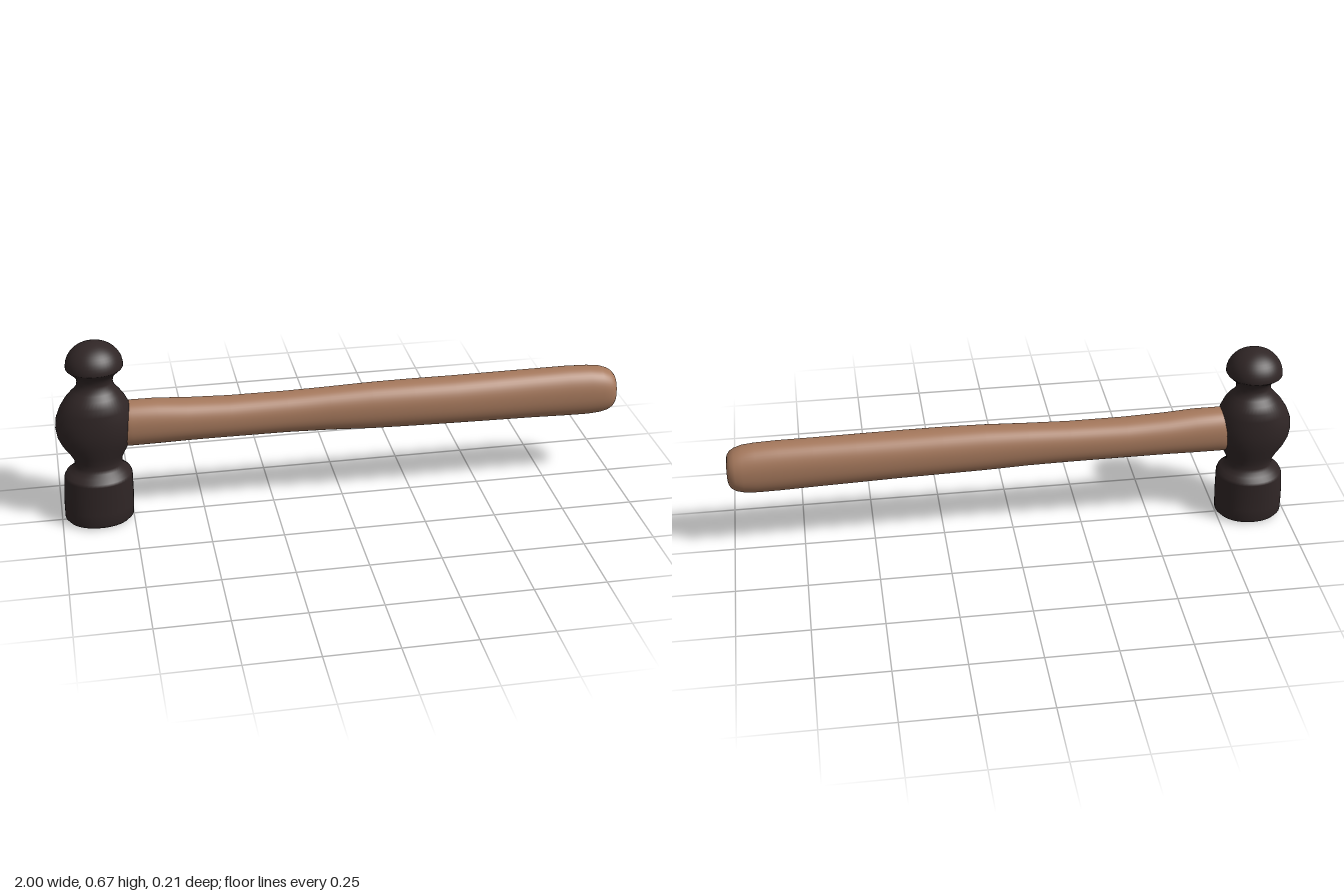
import * as THREE from 'three';

const SIDES = 48;

// Skins rounded cross-sections; each is [position, centre, radius, radius in z, centre in z]
function loft(sections, place, power) {
  const pos = [], idx = [];
  const bend = v => Math.sign(v) * Math.pow(Math.abs(v), 2 / power);
  for (const [t, c, ra, rz, cz = 0] of sections) {
    for (let i = 0; i < SIDES; i++) {
      const a = (i / SIDES) * Math.PI * 2;
      pos.push(...place(t, c + ra * bend(Math.cos(a)), cz + rz * bend(Math.sin(a))));
    }
  }
  for (let s = 0; s < sections.length - 1; s++) {
    for (let i = 0; i < SIDES; i++) {
      const j = (i + 1) % SIDES;
      const a = s * SIDES + i, b = s * SIDES + j;
      idx.push(a, a + SIDES, b, b, a + SIDES, b + SIDES);
    }
  }
  const geo = new THREE.BufferGeometry();
  geo.setAttribute('position', new THREE.Float32BufferAttribute(pos, 3));
  geo.setIndex(idx);
  geo.computeVertexNormals();
  return geo;
}

export function createModel() {
  const model = new THREE.Group();
  const iron = new THREE.MeshStandardMaterial({ color: 0x302626 });
  const wood = new THREE.MeshStandardMaterial({ color: 0xa5785c });
  const add = (name, geo, mat) => {
    const mesh = new THREE.Mesh(geo, mat);
    mesh.name = name;
    model.add(mesh);
  };

  // Striking face, neck and swollen eye: [y, x, radius x, radius z]
  const body = [
    [0.003, -0.87, 0.0005, 0.0005], [0.003, -0.87, 0.095, 0.08], [0.006, -0.87, 0.109, 0.092],
    [0.018, -0.869, 0.12, 0.1], [0.06, -0.868, 0.121, 0.102], [0.1, -0.867, 0.121, 0.102],
    [0.172, -0.864, 0.118, 0.107], [0.183, -0.863, 0.113, 0.105], [0.195, -0.862, 0.1, 0.088],
    [0.207, -0.861, 0.088, 0.076], [0.22, -0.861, 0.082, 0.072], [0.24, -0.861, 0.083, 0.073],
    [0.265, -0.862, 0.096, 0.08], [0.3, -0.864, 0.118, 0.09], [0.33, -0.865, 0.13, 0.097],
    [0.365, -0.865, 0.135, 0.102], [0.4, -0.864, 0.132, 0.102], [0.435, -0.862, 0.12, 0.101],
    [0.463, -0.86, 0.104, 0.097], [0.485, -0.858, 0.087, 0.082], [0.5, -0.857, 0.074, 0.065],
    [0.515, -0.856, 0.064, 0.055], [0.53, -0.856, 0.061, 0.053], [0.545, -0.855, 0.063, 0.055],
    [0.56, -0.855, 0.072, 0.064], [0.57, -0.855, 0.083, 0.077], [0.585, -0.855, 0.097, 0.096],
  ];
  // Domed peen
  const dome = [];
  for (let i = 0; i <= 12; i++) {
    const a = (i / 12) * Math.PI / 2;
    const r = Math.max(0.0005, 0.098 * Math.cos(a));
    dome.push([0.588 + 0.085 * Math.sin(a), -0.854, r, r]);
  }
  add('hammerHead', loft([...body, ...dome], (y, x, z) => [x, y, z], 2.1), iron);

  // Handle: [x, centre y, radius y, radius z, centre z]
  const handle = [
    [-0.83, 0.36, 0.0005, 0.0005], [-0.83, 0.36, 0.078, 0.06], [-0.74, 0.361, 0.081, 0.064],
    [-0.65, 0.361, 0.08, 0.066], [-0.55, 0.358, 0.075, 0.066], [-0.4, 0.355, 0.072, 0.066],
    [-0.2, 0.354, 0.073, 0.063], [-0.05, 0.354, 0.077, 0.063, 0.002], [0.1, 0.353, 0.083, 0.066, 0.004],
    [0.25, 0.352, 0.085, 0.069, 0.005], [0.4, 0.35, 0.086, 0.07, 0.005], [0.55, 0.348, 0.088, 0.069, 0.003],
    [0.7, 0.346, 0.09, 0.067, 0.001], [0.82, 0.344, 0.092, 0.067], [0.9, 0.342, 0.091, 0.067],
    [0.945, 0.341, 0.086, 0.067], [0.972, 0.34, 0.077, 0.064], [0.987, 0.34, 0.067, 0.058],
    [0.996, 0.34, 0.055, 0.047], [1, 0.34, 0.04, 0.033], [1, 0.34, 0.0005, 0.0005],
  ];
  // Reversed so the swapped axes still face outward
  add('handle', loft(handle.reverse(), (x, y, z) => [x, y, z], 2.2), wood);

  return model;
}
